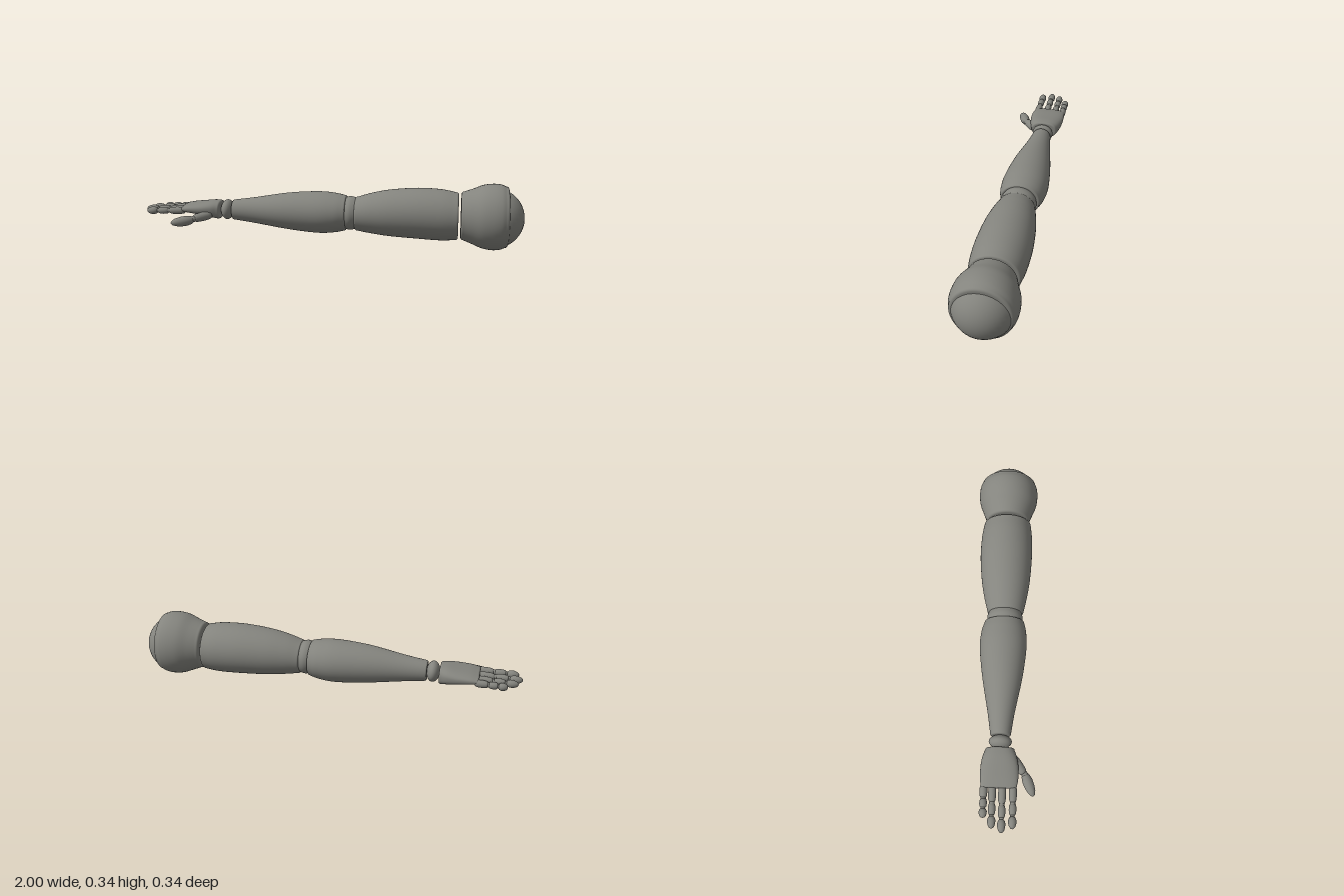
import * as THREE from 'three';

const skin = new THREE.MeshStandardMaterial({ color: 0x84847e });
skin.name = 'warmGrey';

// Signed power, for squared-off oval cross-sections
const pow = (v, e) => Math.sign(v) * Math.abs(v) ** e;

// Closed smooth body lofted along x; stations are [x, yMin, yMax, zMin, zMax]
function loft(name, stations, bevel = 0.01, square = 1, sides = 48) {
  const mid = new THREE.CatmullRomCurve3(
    stations.map(([x, a, b, c, d]) => new THREE.Vector3(x, (a + b) / 2, (c + d) / 2)), false, 'catmullrom');
  const size = new THREE.CatmullRomCurve3(
    stations.map(([x, a, b, c, d]) => new THREE.Vector3(x, (b - a) / 2, (d - c) / 2)), false, 'catmullrom');
  const rings = [];
  const steps = (stations.length - 1) * 6;
  for (let i = 0; i <= steps; i++) {
    const m = mid.getPoint(i / steps), s = size.getPoint(i / steps);
    rings.push({ x: m.x, y: m.y, z: m.z, ry: s.y, rz: s.z });
  }
  // Rounded rims and flat caps
  const cap = (r, dir) => {
    const out = [];
    for (let k = 1; k <= 5; k++) {
      const a = (k / 5) * Math.PI / 2, inset = bevel * (1 - Math.cos(a));
      out.push({ ...r, x: r.x + dir * bevel * Math.sin(a), ry: r.ry - inset, rz: r.rz - inset });
    }
    const e = out[4];
    for (const f of [0.96, 0.0001]) out.push({ ...e, ry: e.ry * f, rz: e.rz * f });
    return out;
  };
  const all = [...cap(rings[0], -1).reverse(), ...rings, ...cap(rings[steps], 1)];
  const pos = [], idx = [];
  all.forEach((r, i) => {
    for (let j = 0; j < sides; j++) {
      const a = (j / sides) * Math.PI * 2;
      pos.push(r.x, r.y + r.ry * pow(Math.cos(a), square), r.z + r.rz * pow(Math.sin(a), square));
      if (i === all.length - 1) continue;
      const p = i * sides + j, q = i * sides + (j + 1) % sides;
      idx.push(p, q, p + sides, q, q + sides, p + sides);
    }
  });
  const g = new THREE.BufferGeometry();
  g.setAttribute('position', new THREE.Float32BufferAttribute(pos, 3));
  g.setIndex(idx);
  g.computeVertexNormals();
  const mesh = new THREE.Mesh(g, skin);
  mesh.name = name;
  return mesh;
}

function ellipsoid(name, p, r) {
  const mesh = new THREE.Mesh(new THREE.SphereGeometry(1, 40, 24), skin);
  mesh.name = name;
  mesh.position.set(...p);
  mesh.scale.set(...r);
  return mesh;
}

// Turned finger bone between two points; profile is [fraction along, fraction of radius]
const BONE = [[0, 0], [0, 0.55], [0.06, 0.8], [0.25, 0.95], [0.55, 0.98], [0.85, 0.9], [0.97, 0.7], [1, 0.4], [1, 0]];
const TIP = [[0, 0], [0, 0.5], [0.08, 0.8], [0.3, 1], [0.55, 0.98], [0.8, 0.75], [0.94, 0.42], [1, 0]];
function bone(name, from, to, radius, profile) {
  const a = new THREE.Vector3(...from), d = new THREE.Vector3(...to).sub(a);
  const len = d.length();
  const g = new THREE.LatheGeometry(profile.map(([t, r]) => new THREE.Vector2(r * radius, t * len)), 20);
  const mesh = new THREE.Mesh(g, skin);
  mesh.name = name;
  mesh.position.copy(a);
  mesh.quaternion.setFromUnitVectors(new THREE.Vector3(0, 1, 0), d.normalize());
  return mesh;
}

export function createModel() {
  const arm = new THREE.Group();
  arm.name = 'jointedArm';

  // Shoulder cup and ball
  arm.add(loft('shoulderCup', [
    [0.695, 0.048, 0.298, -0.13, 0.11],
    [0.74, 0.03, 0.314, -0.147, 0.127],
    [0.79, 0.01, 0.334, -0.165, 0.145],
    [0.84, 0.002, 0.341, -0.171, 0.151],
    [0.88, 0.006, 0.338, -0.168, 0.148],
    [0.905, 0.016, 0.328, -0.159, 0.139],
  ], 0.014));
  arm.add(ellipsoid('shoulderBall', [0.846, 0.166, -0.01], [0.154, 0.154, 0.154]));

  // Upper arm, elbow ring and forearm
  arm.add(loft('upperArm', [
    [0.148, 0.08, 0.256, -0.104, 0.087],
    [0.22, 0.068, 0.278, -0.122, 0.102],
    [0.32, 0.056, 0.298, -0.14, 0.117],
    [0.46, 0.048, 0.31, -0.152, 0.126],
    [0.58, 0.043, 0.306, -0.149, 0.125],
    [0.658, 0.048, 0.292, -0.138, 0.117],
  ]));
  arm.add(loft('elbowJoint', [
    [0.08, 0.09, 0.25, -0.095, 0.075],
    [0.112, 0.082, 0.258, -0.103, 0.083],
    [0.145, 0.09, 0.25, -0.095, 0.075],
  ]));
  arm.add(loft('forearm', [
    [-0.515, 0.115, 0.222, -0.066, 0.038],
    [-0.4, 0.1, 0.238, -0.084, 0.055],
    [-0.22, 0.074, 0.267, -0.117, 0.089],
    [-0.06, 0.06, 0.278, -0.136, 0.107],
    [0.03, 0.066, 0.272, -0.131, 0.104],
    [0.082, 0.077, 0.262, -0.116, 0.093],
  ], 0.008));

  // Wrist and palm
  arm.add(ellipsoid('wristBall', [-0.553, 0.169, -0.014], [0.034, 0.053, 0.058]));
  arm.add(loft('palm', [
    [-0.776, 0.155, 0.196, -0.104, 0.074],
    [-0.74, 0.15, 0.203, -0.108, 0.08],
    [-0.68, 0.139, 0.21, -0.108, 0.08],
    [-0.63, 0.127, 0.216, -0.1, 0.071],
    [-0.597, 0.12, 0.216, -0.088, 0.059],
  ], 0.01, 0.8));

  // Four fingers: [name, z, tip x]
  for (const [name, z, tip] of [
    ['littleFinger', -0.089, -0.93], ['ringFinger', -0.046, -0.98],
    ['middleFinger', 0.003, -1.0], ['indexFinger', 0.056, -0.98],
  ]) {
    const finger = new THREE.Group();
    finger.name = name;
    const at = t => [THREE.MathUtils.lerp(-0.768, tip, t), 0.169 - 0.006 * t, z];
    finger.add(
      bone('proximalBone', at(0), at(0.4), 0.02, BONE),
      bone('middleBone', at(0.43), at(0.69), 0.019, BONE),
      bone('fingertip', at(0.72), at(1), 0.02, TIP),
      bone('knuckles', at(0.02), at(0.8), 0.013, BONE),
    );
    arm.add(finger);
  }

  // Thumb
  const thumb = new THREE.Group();
  thumb.name = 'thumb';
  thumb.add(
    bone('thumbBase', [-0.625, 0.15, 0.05], [-0.705, 0.137, 0.108], 0.024, BONE),
    bone('thumbKnuckle', [-0.69, 0.139, 0.1], [-0.725, 0.131, 0.123], 0.017, BONE),
    bone('thumbTip', [-0.705, 0.132, 0.112], [-0.814, 0.119, 0.158], 0.026, TIP),
  );
  arm.add(thumb);
  return arm;
}
